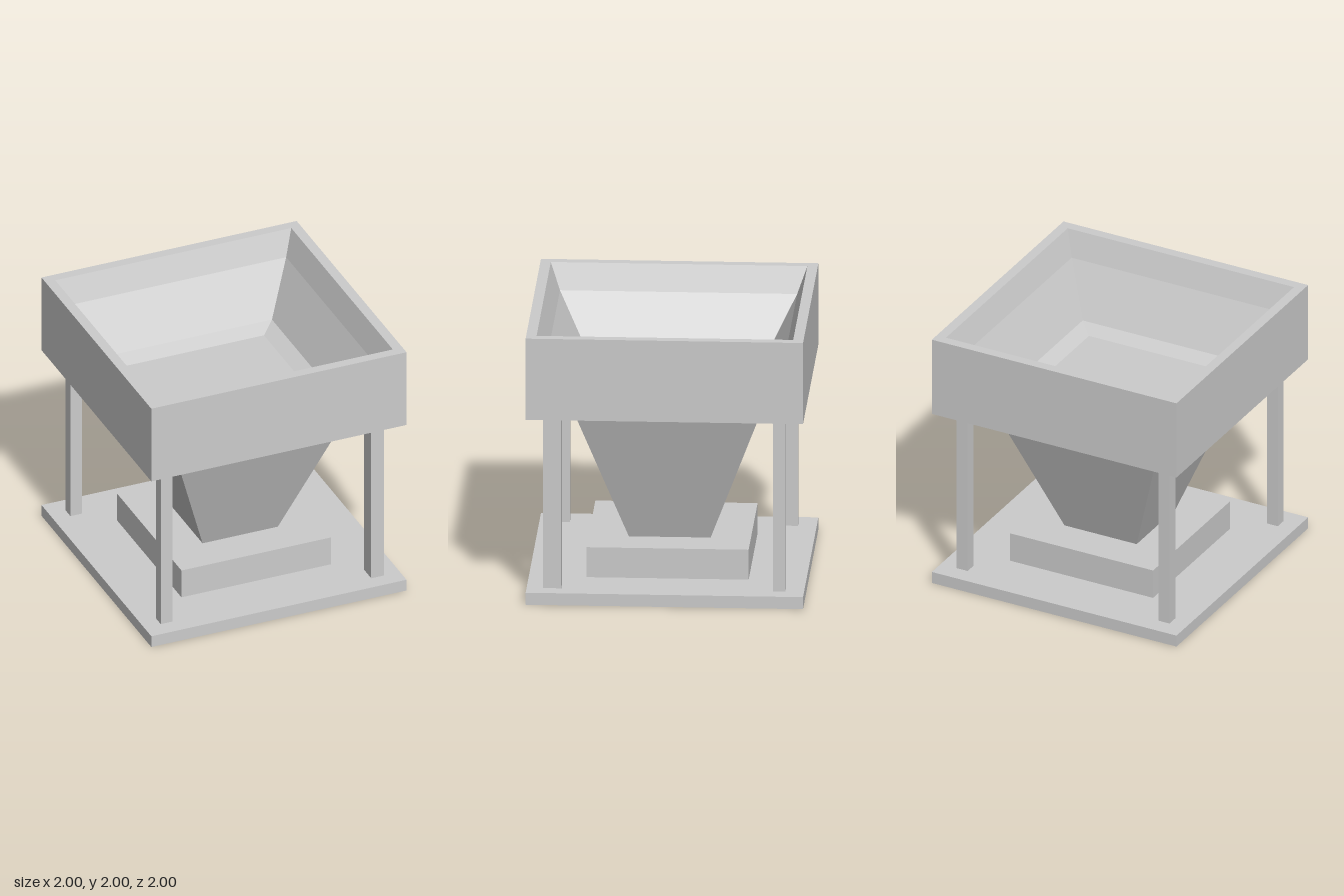
import * as THREE from 'three';

const material = new THREE.MeshStandardMaterial({ color: 0xcccccc, flatShading: true });

// Square, four-sided solid from a profile of [half width, height] points
function squareLathe(name, profile) {
  const points = profile.map(([half, y]) => new THREE.Vector2(half * Math.SQRT2, y));
  const geometry = new THREE.LatheGeometry(points, 4, Math.PI / 4).toNonIndexed();
  geometry.computeVertexNormals();
  const mesh = new THREE.Mesh(geometry, material);
  mesh.name = name;
  return mesh;
}

// Upright post between two x and two z limits
function post(name, x0, x1, z0, z1) {
  const bottom = 0.09, top = 1.39;
  const mesh = new THREE.Mesh(new THREE.BoxGeometry(x1 - x0, top - bottom, z1 - z0), material);
  mesh.position.set((x0 + x1) / 2, (bottom + top) / 2, (z0 + z1) / 2);
  mesh.name = name;
  return mesh;
}

export function createModel() {
  const model = new THREE.Group();
  model.name = 'hopper';

  // Open tray: underside, outer wall, rim, sloping inner walls and floor
  model.add(squareLathe('tray', [
    [0.685, 1.39], [1, 1.39], [1, 2], [0.925, 2],
    [0.855, 1.81], [0.66, 1.44], [0.55, 1.395], [0, 1.395],
  ]));

  // Tapered funnel under the tray
  model.add(squareLathe('funnel', [[0.295, 0.315], [0.685, 1.39]]));

  // Stepped base with a hollow, sloping underside
  model.add(squareLathe('base', [
    [0, 0.31], [0.29, 0.31], [0.63, 0.04], [1, 0],
    [1, 0.09], [0.585, 0.09], [0.585, 0.315], [0, 0.315],
  ]));

  // Corner legs; the front left one is thicker
  model.add(post('frontLeftLeg', 0.775, 0.875, 0.75, 0.88));
  model.add(post('frontRightLeg', -0.87, -0.78, 0.78, 0.87));
  model.add(post('backLeftLeg', 0.78, 0.87, -0.865, -0.775));
  model.add(post('backRightLeg', -0.87, -0.78, -0.865, -0.775));

  return model;
}
